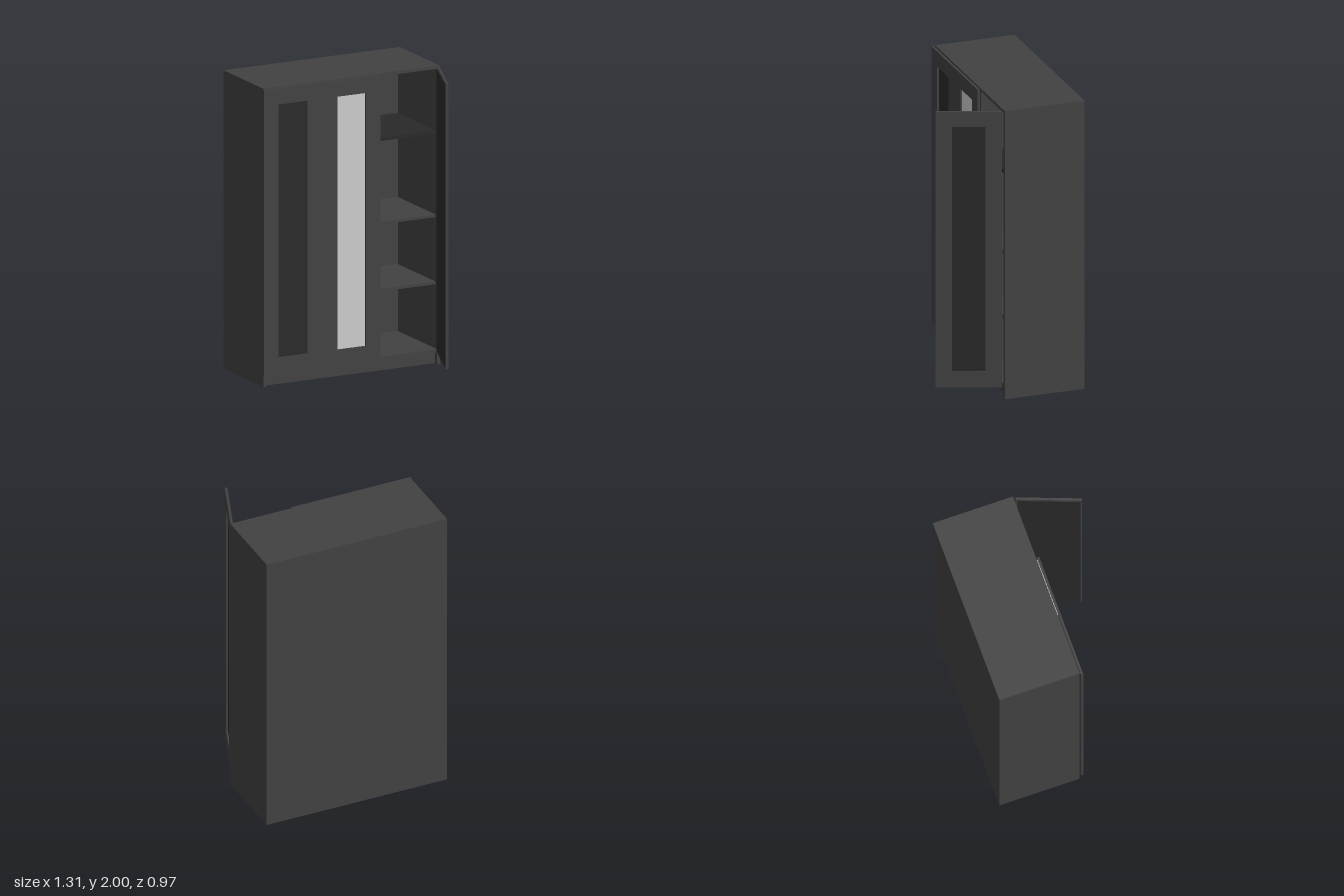
import * as THREE from 'three';

const body = new THREE.MeshStandardMaterial({ color: 0x414141 });
const dark = new THREE.MeshStandardMaterial({ color: 0x292929 });
const mirror = new THREE.MeshStandardMaterial({ color: 0xcccccc });

// Box given by its min and max on each axis
function box(name, [x0, x1], [y0, y1], [z0, z1], material = body) {
  const mesh = new THREE.Mesh(new THREE.BoxGeometry(x1 - x0, y1 - y0, z1 - z0), material);
  mesh.position.set((x0 + x1) / 2, (y0 + y1) / 2, (z0 + z1) / 2);
  mesh.name = name;
  return mesh;
}

// Framed door: outer face at z = 0, right edge at x = 0, with a sheet behind the opening
function door(name, width, sheetMaterial) {
  const group = new THREE.Group();
  group.name = name;
  const y0 = 0.08, y1 = 1.993, t = 0.016, border = 0.108;
  const outline = new THREE.Shape([[-width, y0], [0, y0], [0, y1], [-width, y1]].map(p => new THREE.Vector2(...p)));
  const l = -width + border, r = -border, b = y0 + 0.11, top = y1 - 0.105;
  outline.holes.push(new THREE.Path([[l, b], [l, top], [r, top], [r, b]].map(p => new THREE.Vector2(...p))));
  const frame = new THREE.Mesh(new THREE.ExtrudeGeometry(outline, { depth: t, bevelEnabled: false }), body);
  frame.position.z = -t;
  frame.name = 'doorFrame';
  group.add(frame, box('doorPanel', [-width + 0.01, -0.012], [y0 + 0.01, y1 - 0.01], [-0.022, -0.012], sheetMaterial));
  return group;
}

export function createModel() {
  const wardrobe = new THREE.Group();
  wardrobe.name = 'wardrobe';
  const L = -0.646, R = 0.652, back = -0.488, front = 0.065, t = 0.02;
  const innerX = [L + t, R - t], depth = [back + 0.01, front];

  // Carcass
  wardrobe.add(
    box('rightSide', [L, L + t], [0, 2], [back, front]),
    box('leftSide', [R - t, R], [0, 2], [back, front]),
    box('top', innerX, [1.98, 2], [back, front]),
    box('bottom', innerX, [0.08, 0.1], depth),
    box('backPanel', innerX, [0, 1.98], [back, back + 0.01]),
    box('plinth', innerX, [0, 0.08], [front - 0.05, front - 0.03]),
    box('divider', [0.185, 0.205], [0.1, 1.98], depth),
  );

  // Shelves in the open compartment
  const shelfX = [0.205, R - t], shelfZ = [back + 0.01, front - 0.02];
  for (const y of [0.54, 0.99]) wardrobe.add(box('shelf', shelfX, [y - 0.009, y + 0.009], shelfZ));
  wardrobe.add(box('topShelf', shelfX, [1.54, 1.563], shelfZ, dark));

  // Two closed doors and one swung open
  const doors = [
    ['rightDoor', 0.43, dark, -0.225, 0.087, 0],
    ['mirrorDoor', 0.426, mirror, 0.204, 0.087, 0],
    ['openDoor', 0.432, dark, 0.643, 0.081, 1.213],
  ];
  for (const [name, width, material, x, z, angle] of doors) {
    const d = door(name, width, material);
    d.position.set(x, 0, z);
    d.rotation.y = angle;
    wardrobe.add(d);
  }
  return wardrobe;
}
